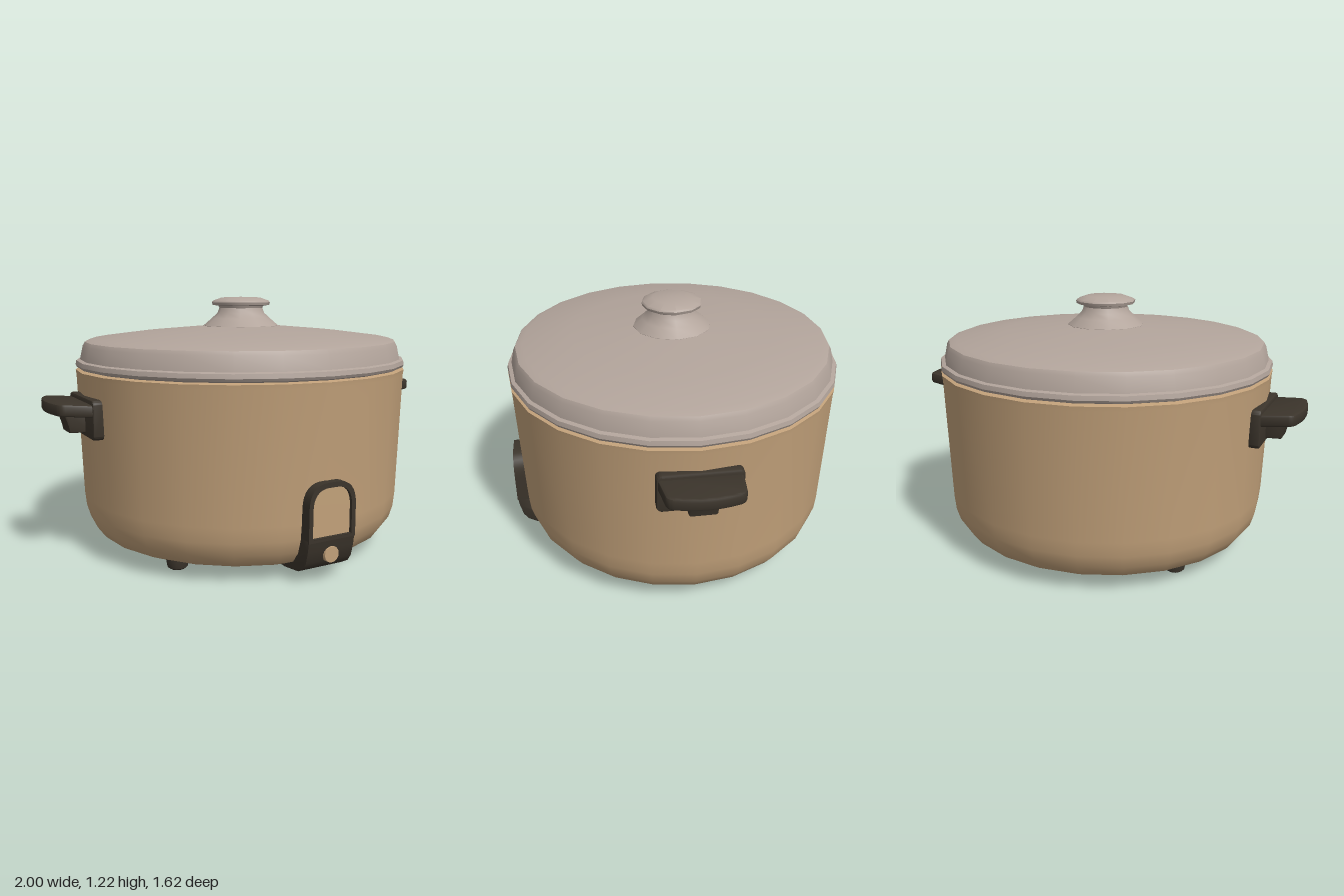
import * as THREE from 'three';
import { toCreasedNormals } from 'three/addons/utils/BufferGeometryUtils.js';

const CZ = -0.01; // depth of the pot axis

export function createModel() {
  const tan = new THREE.MeshStandardMaterial({ color: 0xc2a17a, name: 'tan enamel' });
  const lidGrey = new THREE.MeshStandardMaterial({ color: 0xb2a49b, name: 'warm grey' });
  const dark = new THREE.MeshStandardMaterial({ color: 0x3b342b, name: 'dark plastic' });
  const model = new THREE.Group();
  model.name = 'electricCooker';

  const add = (parent, name, geometry, material, x = 0, y = 0, z = 0) => {
    const mesh = new THREE.Mesh(geometry, material);
    mesh.name = name;
    mesh.position.set(x, y, z);
    parent.add(mesh);
    return mesh;
  };
  const lathe = (points, sides) => toCreasedNormals(
    new THREE.LatheGeometry(points.map(([r, y]) => new THREE.Vector2(r, y)), sides), 0.65);
  const polygon = (points) => new THREE.Shape(points.map(([x, y]) => new THREE.Vector2(x, y)));
  // Extrusion centred on its depth axis, with a small inward bevel
  const slab = (shape, depth, bevel = 0.01) => {
    const g = new THREE.ExtrudeGeometry(shape, {
      depth: depth - 2 * bevel, bevelEnabled: bevel > 0, bevelSize: bevel, bevelOffset: -bevel,
      bevelThickness: bevel, bevelSegments: 2, curveSegments: 8,
    });
    g.translate(0, 0, bevel - depth / 2);
    return toCreasedNormals(g, 0.6);
  };
  const roundedRect = (w, h, r) => {
    const s = new THREE.Shape();
    s.absarc(w / 2 - r, h / 2 - r, r, 0, Math.PI / 2);
    s.absarc(-w / 2 + r, h / 2 - r, r, Math.PI / 2, Math.PI);
    s.absarc(-w / 2 + r, -h / 2 + r, r, Math.PI, Math.PI * 1.5);
    s.absarc(w / 2 - r, -h / 2 + r, r, Math.PI * 1.5, Math.PI * 2);
    return s;
  };

  // Pot body, slightly tapered with a rounded lower edge
  add(model, 'body', lathe([
    [0, 0.052], [0.62, 0.052], [0.68, 0.06], [0.735, 0.085], [0.775, 0.14],
    [0.793, 0.2], [0.8, 0.27], [0.819, 0.855], [0.822, 0.876], [0.79, 0.882],
  ], 24), tan, 0, 0, CZ).scale.z = 0.972;

  // Lid with a rim, a short skirt and a shallow dome
  add(model, 'lid', lathe([
    [0, 0.88], [0.79, 0.88], [0.815, 0.888], [0.822, 0.9], [0.818, 0.92], [0.8, 0.925],
    [0.785, 0.99], [0.775, 1.008], [0.74, 1.02], [0.5, 1.05], [0.185, 1.077], [0, 1.08],
  ], 24), lidGrey, 0, 0, CZ).scale.z = 0.972;

  // Lid knob: flared base, neck and cap
  add(model, 'knob', lathe([
    [0.188, 1.07], [0.188, 1.078], [0.145, 1.115], [0.118, 1.14], [0.108, 1.165], [0.112, 1.175],
    [0.142, 1.18], [0.146, 1.193], [0.14, 1.201], [0.095, 1.217], [0, 1.22],
  ], 12), lidGrey, 0, 0, CZ);

  // Side handles: mounting plate, grip and central web
  for (const side of [1, -1]) {
    const handle = new THREE.Group();
    handle.name = side > 0 ? 'leftHandle' : 'rightHandle';
    handle.position.z = CZ;
    handle.rotation.y = side > 0 ? 0 : Math.PI;

    const plate = slab(roundedRect(0.37, 0.18, 0.025), 0.055);
    plate.rotateY(Math.PI / 2);
    add(handle, 'handlePlate', plate, dark, 0.807, 0.685, 0);

    const plan = new THREE.Shape();
    plan.moveTo(0.8, -0.182);
    plan.lineTo(0.95, -0.165);
    plan.quadraticCurveTo(0.975, -0.16, 0.982, -0.13);
    plan.quadraticCurveTo(1.018, 0, 0.982, 0.13);
    plan.quadraticCurveTo(0.975, 0.16, 0.95, 0.165);
    plan.lineTo(0.8, 0.182);
    const grip = slab(plan, 0.055, 0.012);
    grip.rotateX(-Math.PI / 2);
    // Dip the top where the grip meets the plate
    const p = grip.attributes.position;
    for (let i = 0; i < p.count; i++) {
      const t = THREE.MathUtils.clamp((0.95 - p.getX(i)) / 0.15, 0, 1);
      p.setY(i, p.getY(i) - 0.014 * t);
    }
    add(handle, 'handleGrip', grip, dark, 0, 0.738, 0);

    const web = polygon([[0.8, 0.612], [0.905, 0.618], [0.912, 0.65], [0.935, 0.72], [0.8, 0.72]]);
    add(handle, 'handleWeb', slab(web, 0.125), dark);
    model.add(handle);
  }

  // Arched control frame with a window opening
  const arch = (half, bottom, top, target) => {
    const r = half * 0.95;
    target.moveTo(-half, bottom);
    target.lineTo(half, bottom);
    target.lineTo(half, top - r);
    target.quadraticCurveTo(half, top, half - r * 0.85, top);
    target.lineTo(-half + r * 0.85, top);
    target.quadraticCurveTo(-half, top, -half, top - r);
    target.closePath();
    return target;
  };
  const panel = new THREE.Group();
  panel.name = 'controlPanel';
  const frame = arch(0.12, 0.2, 0.455, new THREE.Shape());
  frame.holes.push(arch(0.1, 0.212, 0.432, new THREE.Path()));
  add(panel, 'panelFrame', slab(frame, 0.08, 0), dark, 0, 0, 0.768);
  add(panel, 'panelWindow', slab(arch(0.105, 0.205, 0.44, new THREE.Shape()), 0.04, 0), tan, 0, 0, 0.772);

  // Lower panel, curving under the pot
  const strip = slab(polygon([
    [0.808, 0.215], [0.8, 0.16], [0.786, 0.105], [0.765, 0.075], [0.72, 0.05], [0.62, 0.036],
    [0.28, 0.034], [0.21, 0.046], [0.2, 0.06], [0.62, 0.07], [0.72, 0.13], [0.74, 0.215],
  ]), 0.24, 0.006);
  strip.rotateY(-Math.PI / 2);
  add(panel, 'panelBase', strip, dark);

  const button = new THREE.CylinderGeometry(0.036, 0.042, 0.05, 16);
  button.rotateX(Math.PI / 2);
  add(panel, 'switchButton', toCreasedNormals(button, 0.6), tan, 0, 0.135, 0.782);
  model.add(panel);

  // Four small feet
  const footGeometry = lathe([[0, 0], [0.035, 0], [0.047, 0.009], [0.052, 0.035], [0.052, 0.06]], 12);
  for (const x of [-0.505, 0.505]) {
    for (const z of [-0.335, 0.312]) add(model, 'foot', footGeometry, dark, x, 0, z);
  }

  return model;
}
